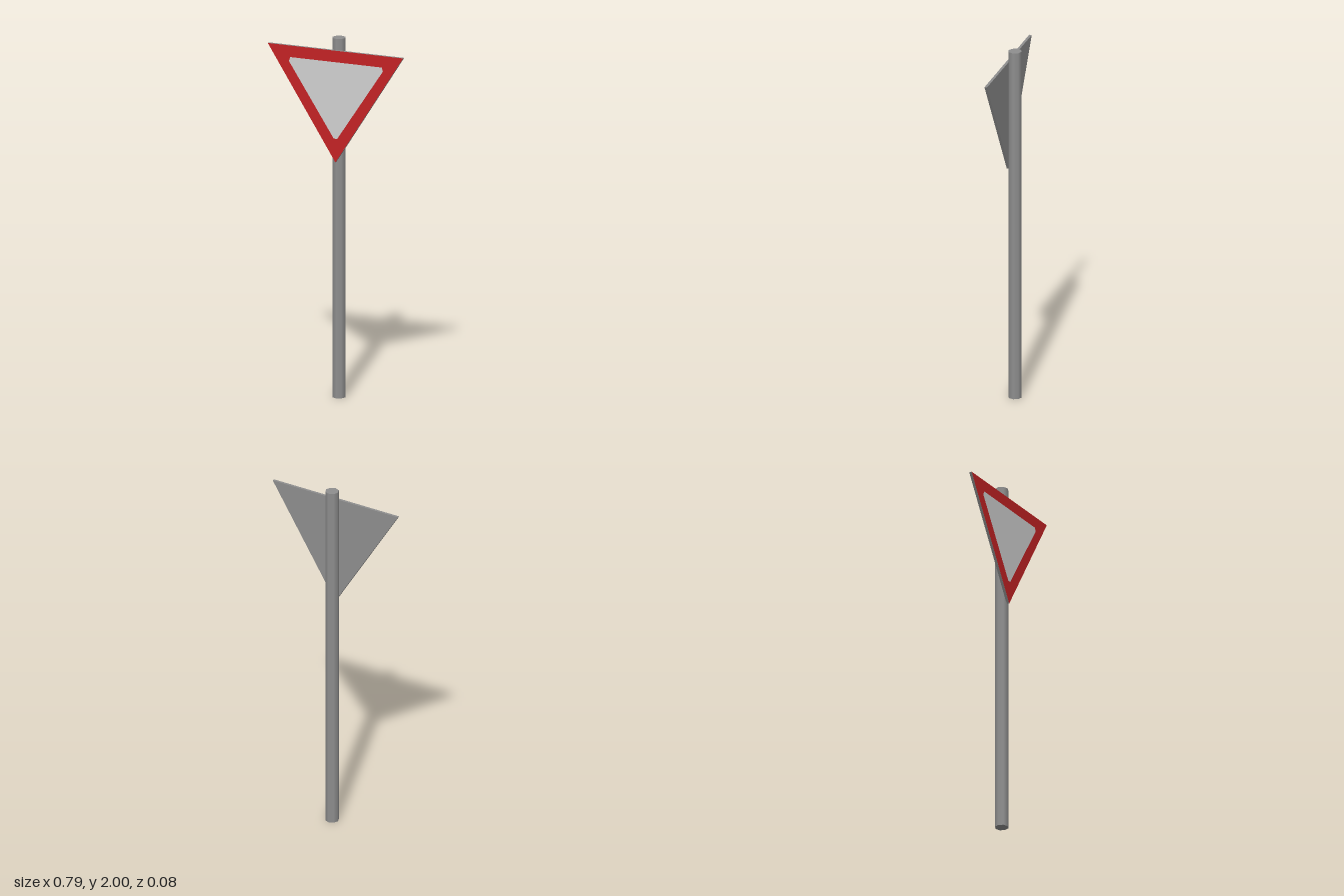
import * as THREE from 'three';

const material = (name, color) => {
  const m = new THREE.MeshStandardMaterial({ color });
  m.name = name;
  return m;
};

const points = (list) => list.map(([x, y]) => new THREE.Vector2(x, y));

export function createModel() {
  const group = new THREE.Group();
  const metal = material('grey metal', 0x8e8e8e);
  const red = material('red border', 0xc32224);
  const white = material('pale centre', 0xd0d0d0);

  const add = (name, geometry, mat, y, z) => {
    const mesh = new THREE.Mesh(geometry, mat);
    mesh.name = name;
    mesh.position.set(0, y, z);
    group.add(mesh);
  };

  // Outer triangle, and inner triangle with slightly clipped corners
  const outer = points([[-0.396, 1.937], [0, 1.315], [0.396, 1.937]]);
  const inner = points([
    [-0.265, 1.873], [-0.272, 1.85], [-0.01, 1.447],
    [0.01, 1.447], [0.277, 1.85], [0.272, 1.873],
  ]);

  // Eight-sided post
  add('post', new THREE.CylinderGeometry(0.037, 0.037, 2, 8), metal, 1, -0.005);

  // Sign plate, its sides and back in bare metal
  const plate = new THREE.ExtrudeGeometry(new THREE.Shape(outer), { depth: 0.0145, bevelEnabled: false });
  add('signPlate', plate, metal, 0, 0.027);

  // Painted face: border with a hole, filled by the centre
  const border = new THREE.Shape(outer);
  border.holes.push(new THREE.Path(inner));
  add('signBorder', new THREE.ShapeGeometry(border), red, 0, 0.0423);
  add('signCentre', new THREE.ShapeGeometry(new THREE.Shape(inner)), white, 0, 0.0423);

  return group;
}
